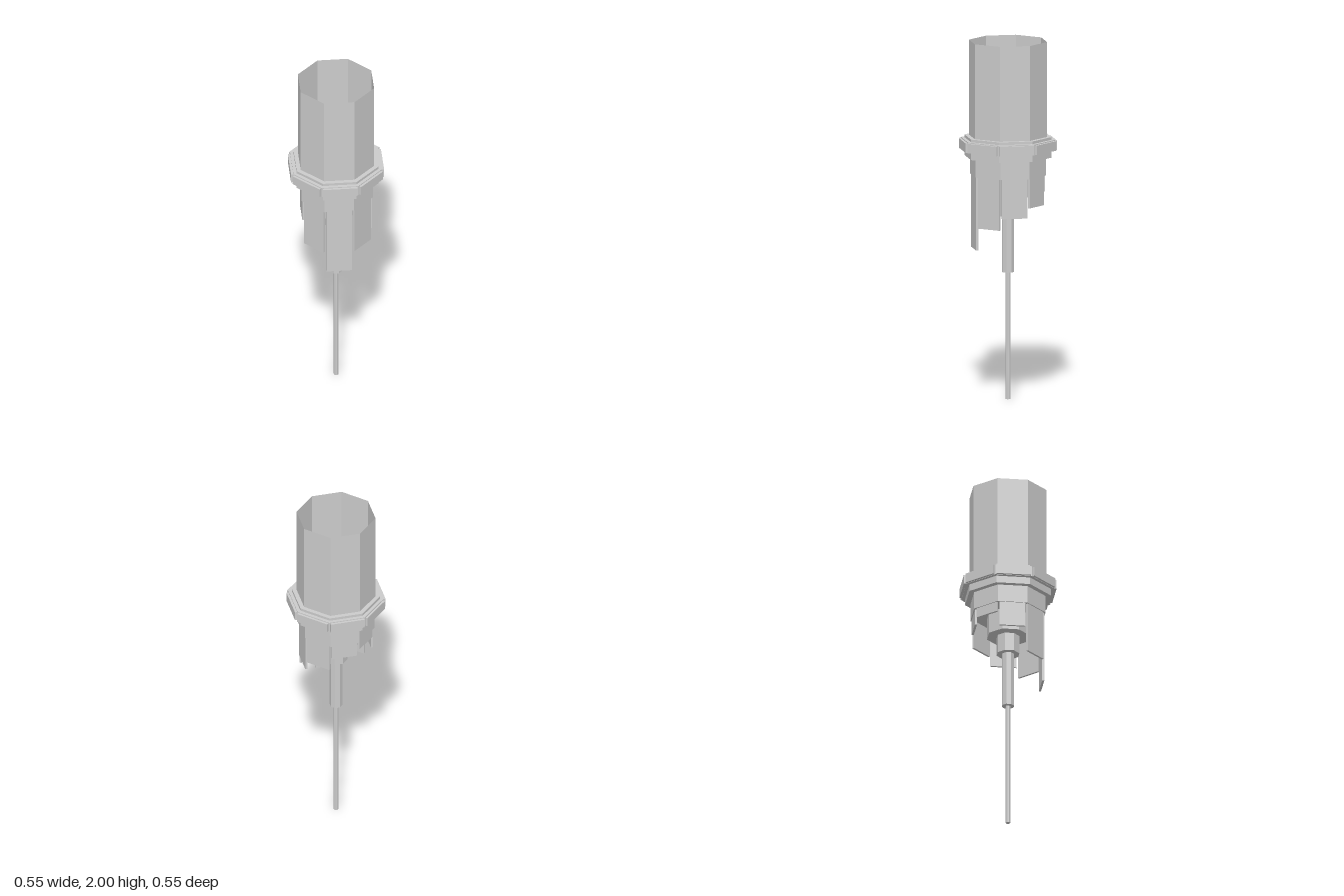
import * as THREE from 'three';

const grey = new THREE.MeshStandardMaterial({ color: 0xcccccc, flatShading: true });
const greyOpen = new THREE.MeshStandardMaterial({ color: 0xcccccc, flatShading: true, side: THREE.DoubleSide });

// Octagonal drum between two heights, corners on the x and z axes
function drum(name, radius, bottom, top, open = false) {
  const geo = new THREE.CylinderGeometry(radius, radius, top - bottom, 8, 1, open);
  const mesh = new THREE.Mesh(geo, open ? greyOpen : grey);
  mesh.position.y = (bottom + top) / 2;
  mesh.name = name;
  return mesh;
}

// Flat plate lying on octagon side i (counted from +x towards +z)
function plate(name, i, inner, outer, width, bottom, top) {
  const angle = (i + 0.5) * Math.PI / 4;
  const mid = (inner + outer) / 2;
  const mesh = new THREE.Mesh(new THREE.BoxGeometry(outer - inner, top - bottom, width), grey);
  mesh.position.set(Math.cos(angle) * mid, (bottom + top) / 2, Math.sin(angle) * mid);
  mesh.rotation.y = -angle;
  mesh.name = name;
  return mesh;
}

export function createModel() {
  const model = new THREE.Group();
  model.name = 'spire';

  model.add(
    drum('openTower', 0.22, 1.47, 2, true),
    drum('collar', 0.245, 1.355, 1.47),
    drum('collarRim', 0.265, 1.395, 1.455),
    drum('lowerBody', 0.215, 1.255, 1.355),
    drum('upperHub', 0.12, 1.13, 1.255),
    drum('lowerHub', 0.065, 1.025, 1.13),
    drum('shaft', 0.035, 0.71, 1.025),
    drum('needle', 0.013, 0, 0.71)
  );

  // Plates around the collar and hanging panels of uneven length
  const rimPlates = new THREE.Group();
  rimPlates.name = 'rimPlates';
  const hangingPanels = new THREE.Group();
  hangingPanels.name = 'hangingPanels';
  const panelBottoms = [0.97, 0.845, 0.97, 1.115, 1.2, 1.165, 1.09, 1.035];
  panelBottoms.forEach((bottom, i) => {
    rimPlates.add(plate('rimPlate', i, 0.24, 0.258, 0.192, 1.397, 1.45));
    hangingPanels.add(plate('hangingPanel', i, 0.181, 0.193, 0.142, bottom, 1.26));
  });
  model.add(rimPlates, hangingPanels);
  return model;
}
